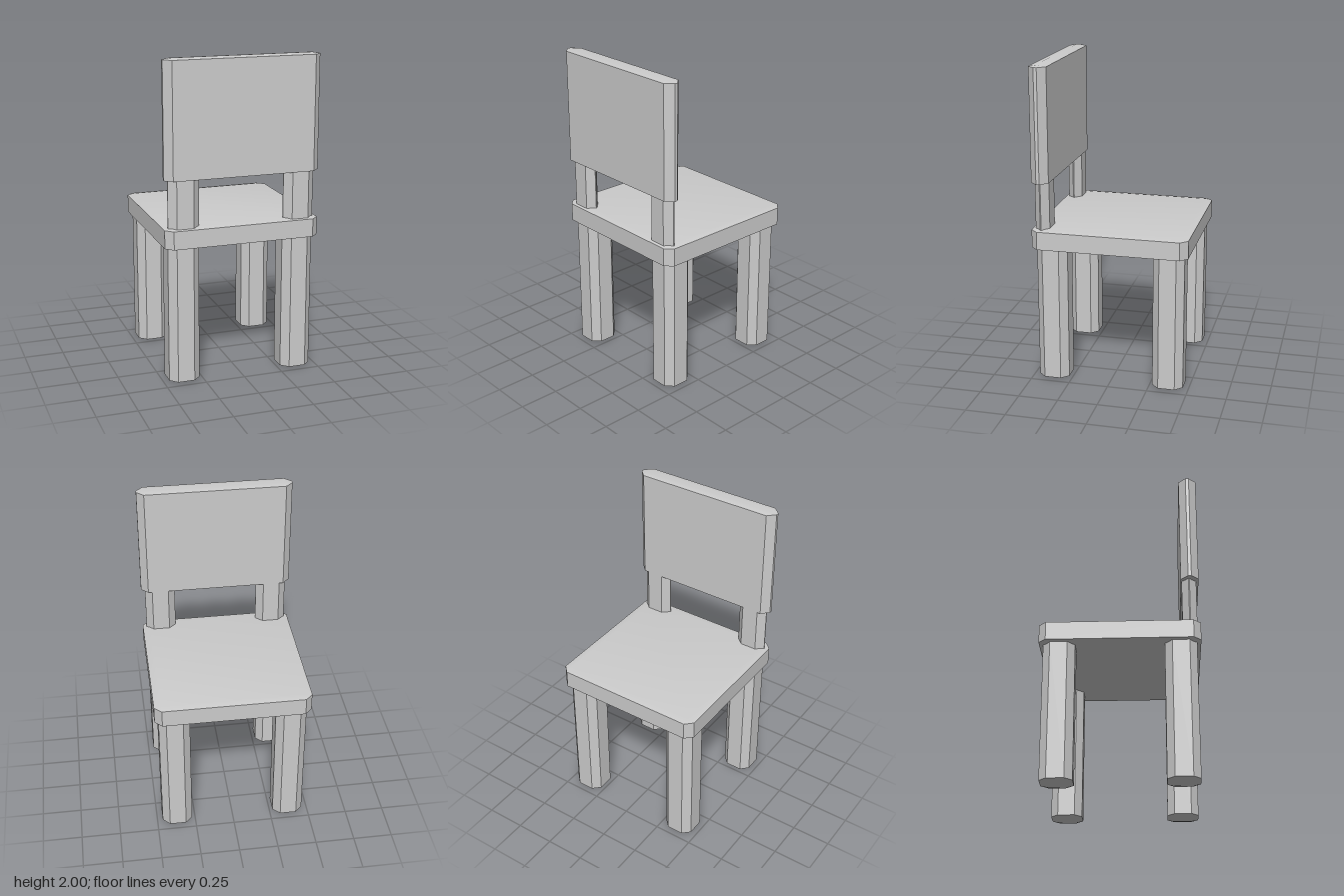
import * as THREE from 'three';
import { ConvexGeometry } from 'three/addons/geometries/ConvexGeometry.js';
import { toCreasedNormals } from 'three/addons/utils/BufferGeometryUtils.js';

const material = new THREE.MeshStandardMaterial({ color: 0xcccccc });

// Block with chamfered upright corners and very shallow sloped rims on top and bottom
function block(name, [x0, x1], [y0, y1], [z0, z1], chamfer = 0.045, rim = 0.008) {
  const hx = (x1 - x0) / 2, hy = (y1 - y0) / 2, hz = (z1 - z0) / 2;
  const cz = Math.min(chamfer, hz - 0.003);
  const points = [];
  for (const sx of [-1, 1]) for (const sy of [-1, 1]) for (const sz of [-1, 1]) {
    points.push(
      new THREE.Vector3(sx * (hx - chamfer), sy * hy, sz * (hz - cz)),
      new THREE.Vector3(sx * hx, sy * (hy - rim), sz * (hz - cz)),
      new THREE.Vector3(sx * (hx - chamfer), sy * (hy - rim), sz * hz)
    );
  }
  const mesh = new THREE.Mesh(toCreasedNormals(new ConvexGeometry(points), 0.5), material);
  mesh.name = name;
  mesh.position.set((x0 + x1) / 2, (y0 + y1) / 2, (z0 + z1) / 2);
  return mesh;
}

export function createModel() {
  const chair = new THREE.Group();
  chair.name = 'chair';

  // Seat and backrest panels
  chair.add(block('seat', [-0.49, 0.49], [0.86, 0.99], [-0.49, 0.49]));
  chair.add(block('backrest', [-0.49, 0.49], [1.275, 2], [0.375, 0.485]));

  for (const side of [-1, 1]) {
    const label = side > 0 ? 'left' : 'right';
    const x = side > 0 ? [0.27, 0.465] : [-0.465, -0.27];

    // Legs
    chair.add(block(label + 'LegA', x, [0, 0.88], [0.27, 0.465]));
    chair.add(block(label + 'LegB', x, [0, 0.88], [-0.465, -0.27]));

    // Post joining the seat to the backrest
    chair.add(block(label + 'BackPost', x, [0.97, 1.3], [0.38, 0.47]));
  }
  return chair;
}
